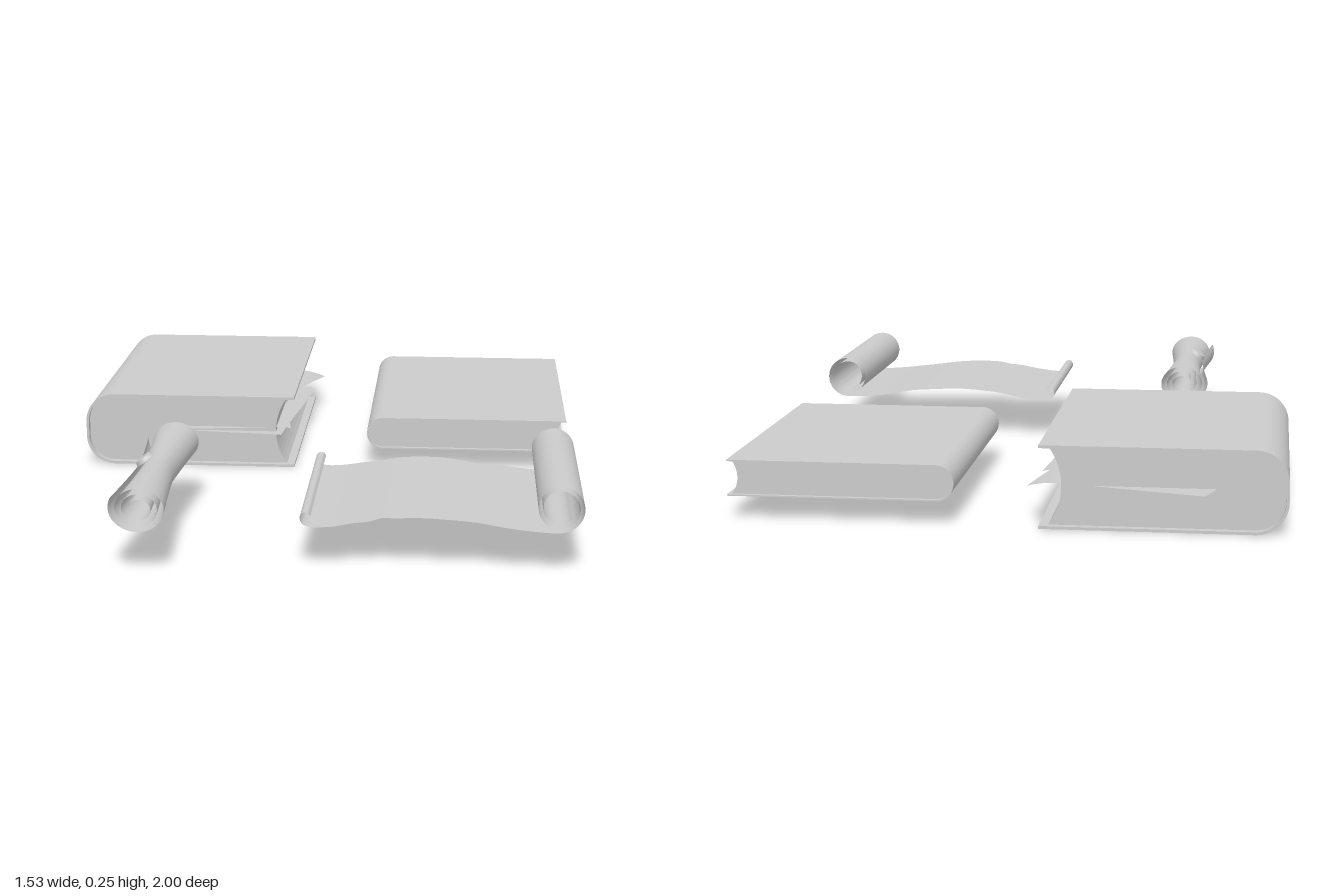
import * as THREE from 'three';

const paper = new THREE.MeshStandardMaterial({ color: 0xcccccc, side: THREE.DoubleSide });

function add(group, name, geometry) {
  const mesh = new THREE.Mesh(geometry, paper);
  mesh.name = name;
  group.add(mesh);
  return mesh;
}

// Smooth surface over a grid: place(u, v) returns [x, y, z]
function surface(nu, nv, place) {
  const geo = new THREE.PlaneGeometry(1, 1, nu, nv);
  const pos = geo.attributes.position;
  for (let i = 0; i < pos.count; i++) {
    pos.setXYZ(i, ...place(pos.getX(i) + 0.5, 0.5 - pos.getY(i)));
  }
  geo.computeVertexNormals();
  return geo;
}

// Runs along the back of a book: top edge, round spine, bottom edge
function spinePath(path, x0, xTop, y0, y1, r) {
  const k = r * 0.45, h = Math.min(r, (y1 - y0) / 2);
  path.moveTo(xTop, y1);
  path.lineTo(x0 + r, y1);
  path.bezierCurveTo(x0 + k, y1, x0, y1 - h * 0.45, x0, y1 - h);
  path.lineTo(x0, y0 + h);
  path.bezierCurveTo(x0, y0 + h * 0.45, x0 + k, y0, x0 + r, y0);
  path.lineTo(xTop, y0);
  return path;
}

function extrude(shape, z0, z1) {
  const geo = new THREE.ExtrudeGeometry(shape, { depth: z1 - z0, bevelEnabled: false, curveSegments: 14 });
  return geo.translate(0, 0, z0);
}

function makeBook({ name, x0, x1, y0, y1, z0, z1, r, t, inset, edge, hollow }) {
  const book = new THREE.Group();
  book.name = name;
  // Cover: a thin C-shaped wrap
  const cover = spinePath(new THREE.Shape(), x0, x1, y0, y1, r);
  const inner = spinePath(new THREE.Path(), x0 + t, x1, y0 + t, y1 - t, r - t).getPoints(14).reverse();
  inner.forEach((p) => cover.lineTo(p.x, p.y));
  cover.closePath();
  add(book, 'cover', extrude(cover, z0, z1));
  // Pages: a block with a hollowed fore edge
  const e = x1 - edge, h = (y1 - y0) * 0.3;
  const pages = spinePath(new THREE.Shape(), x0 + t, e, y0 + t, y1 - t, r - t);
  pages.bezierCurveTo(e - hollow * 1.3, y0 + h, e - hollow * 1.3, y1 - h, e, y1 - t);
  add(book, 'pageBlock', extrude(pages, z0 + inset, z1 - inset));
  return book;
}

// Loose leaf from its back left corner, turned in plan and drooping past the fore edge
function looseLeaf(x, z, degrees, w, l, y) {
  const a = THREE.MathUtils.degToRad(degrees), c = Math.cos(a), s = Math.sin(a);
  return surface(24, 8, (u, v) => {
    const px = x + u * w * c - v * l * s;
    const out = Math.max(0, px + 0.16);
    return [px, y - 1.6 * out * out, z + u * w * s + v * l * c];
  });
}

// Shallow V-shaped tear at a given place along an edge
const nick = (x, at, width, depth) => depth * Math.max(0, 1 - Math.abs(x - at) / width);

function makeOpenScroll() {
  const scroll = new THREE.Group();
  scroll.name = 'openScroll';
  const points = [
    [0.03, 0.152], [0.022, 0.161], [0.008, 0.16], [0.001, 0.147], [0.008, 0.13], [0.03, 0.122],
    [0.08, 0.123], [0.16, 0.136], [0.25, 0.15], [0.33, 0.154], [0.43, 0.148], [0.53, 0.135], [0.62, 0.124],
  ].map(([x, y]) => new THREE.Vector3(x, y, 0));
  // The far end rolls up into a spiral
  for (let i = 0; i <= 34; i++) {
    const a = -Math.PI / 2 + (i / 34) * Math.PI * 4.3;
    const r = 0.068 - 0.026 * (i / 34);
    points.push(new THREE.Vector3(0.7 + r * Math.cos(a), 0.188 + r * Math.sin(a), 0));
  }
  const curve = new THREE.CatmullRomCurve3(points);
  add(scroll, 'parchment', surface(220, 4, (u, v) => {
    const p = curve.getPoint(u);
    const flat = p.y < 0.2 && p.x < 0.62;
    const back = 0.328 + (flat ? nick(p.x, 0.19, 0.05, 0.014) + nick(p.x, 0.485, 0.08, 0.024) : nick(p.x, 0.68, 0.03, 0.01));
    const front = 0.92 - (flat ? nick(p.x, 0.14, 0.04, 0.006) + nick(p.x, 0.225, 0.035, 0.018) + nick(p.x, 0.48, 0.08, 0.008) : 0);
    return [p.x, p.y, THREE.MathUtils.lerp(back, front, v)];
  }));
  return scroll;
}

function makeRolledScroll() {
  const scroll = new THREE.Group();
  scroll.name = 'rolledScroll';
  const cx = -0.426, cy = 0.187;
  // Spiral roll pinched at the waist
  add(scroll, 'roll', surface(120, 24, (u, v) => {
    const flare = Math.pow(Math.abs(v - 0.5) * 2, 1.25);
    const a = THREE.MathUtils.degToRad(155) + u * Math.PI * 6;
    const r = 1.02 - 0.68 * u;
    return [
      cx + r * (0.054 + 0.026 * flare) * Math.cos(a),
      cy + r * (0.059 + 0.009 * flare) * Math.sin(a),
      0.322 + 0.678 * v,
    ];
  }));
  // Round seal on the upper side
  const seal = add(scroll, 'seal', new THREE.CylinderGeometry(0.024, 0.028, 0.012, 20));
  seal.position.set(cx - 0.034, cy + 0.046, 0.68);
  seal.rotation.z = 0.66;
  return scroll;
}

export function createModel() {
  const model = new THREE.Group();
  model.name = 'booksAndScrolls';

  const thick = makeBook({
    name: 'thickBook', x0: -0.77, x1: -0.1, y0: 0, y1: 0.23, z0: -0.93, z1: -0.05,
    r: 0.09, t: 0.008, inset: 0.02, edge: 0.025, hollow: 0.036,
  });
  add(thick, 'looseLeafBack', looseLeaf(-0.55, -1.0, 16, 0.51, 0.7, 0.118));
  add(thick, 'looseLeafSide', looseLeaf(-0.478, -0.708, 5.5, 0.4, 0.64, 0.112));
  add(thick, 'looseLeafFront', looseLeaf(-0.508, -0.53, -7.8, 0.33, 0.5, 0.125));
  model.add(thick);

  model.add(makeBook({
    name: 'thinBook', x0: 0.132, x1: 0.762, y0: 0.065, y1: 0.166, z0: -0.92, z1: -0.06,
    r: 0.05, t: 0.004, inset: 0.012, edge: 0.012, hollow: 0.016,
  }));

  model.add(makeOpenScroll(), makeRolledScroll());
  return model;
}
